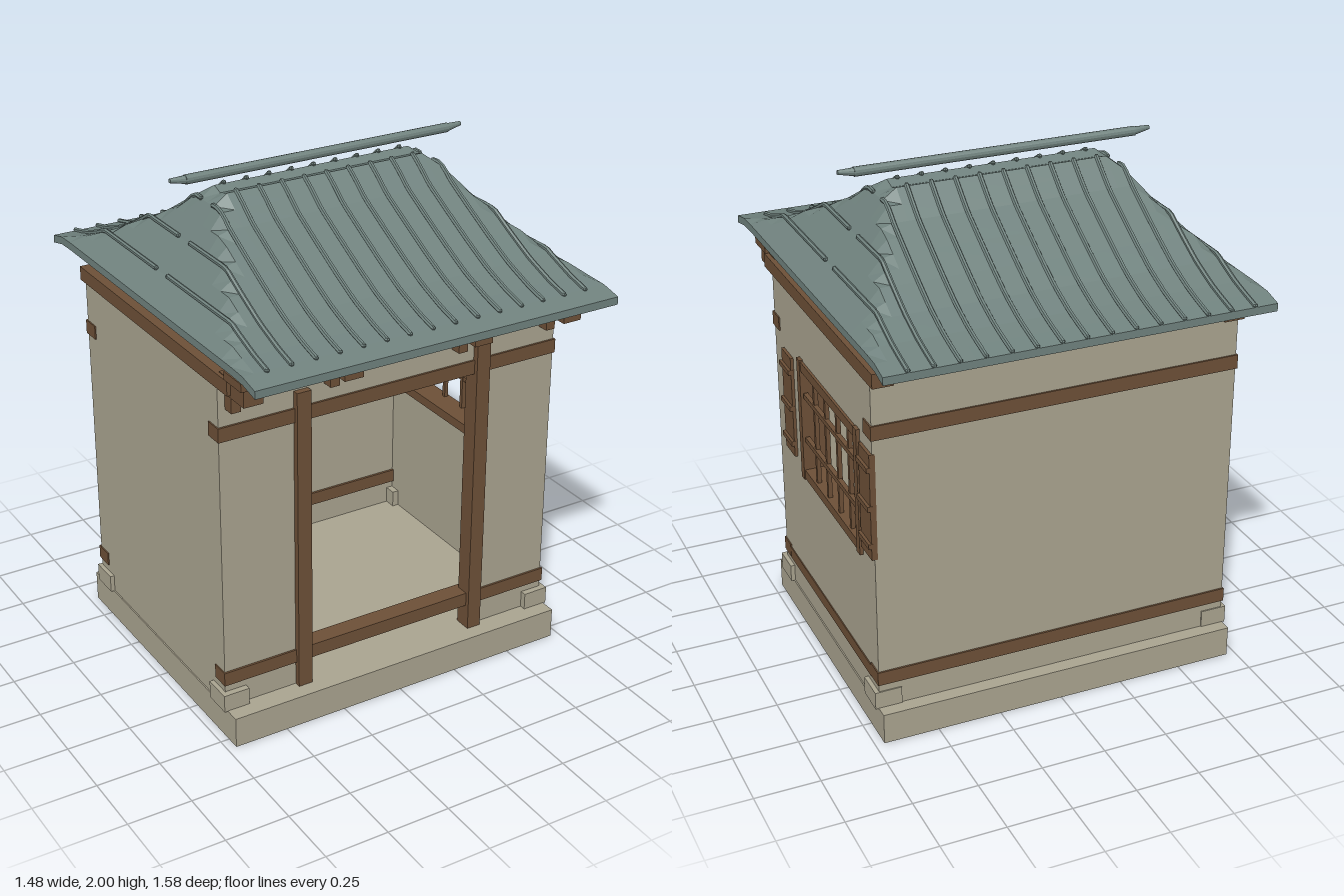
import * as THREE from 'three';

const wall = new THREE.MeshStandardMaterial({ color: 0xaaa490 });
wall.name = 'plaster and stone';
const wood = new THREE.MeshStandardMaterial({ color: 0x6d5037 });
wood.name = 'brown timber';
const tile = new THREE.MeshStandardMaterial({ color: 0x70827e, side: THREE.DoubleSide, flatShading: true });
tile.name = 'grey green tile';

// Piecewise linear profile through [position, height] points
function profile(points, v) {
  for (let i = 1; i < points.length; i++) {
    const [a, ya] = points[i - 1], [b, yb] = points[i];
    if (v <= b) return ya + (yb - ya) * Math.max(0, (v - a) / (b - a));
  }
  return points[points.length - 1][1];
}

const RIDGE_Z = -0.04;
const slope = [[0, 1.905], [0.06, 1.92], [0.2, 1.832], [0.35, 1.765], [0.5, 1.7], [0.65, 1.64], [0.8, 1.596], [0.9, 1.575], [1, 1.557]];
const hip = [[0, 1.925], [0.41, 1.925], [0.464, 1.88], [0.557, 1.755], [0.65, 1.65], [0.74, 1.578]];

// Roof height: the lower of the main slope and the end slope
function roofHeight(x, z) {
  const d = z > RIDGE_Z ? (z - RIDGE_Z) / 0.83 : (RIDGE_Z - z) / 0.75;
  return Math.min(profile(slope, d), profile(hip, Math.abs(x)));
}

// Curved shell made of a top sheet, a lowered bottom sheet and a rim
function roofShell() {
  const half = [0.74, 0.695, 0.65, 0.605, 0.557, 0.51, 0.464, 0.41, 0.2];
  const xs = [...half.map((v) => -v), 0, ...half.slice().reverse()];
  const ts = [1, 0.9, 0.8, 0.725, 0.65, 0.575, 0.5, 0.425, 0.35, 0.275, 0.2, 0.13, 0.06];
  const zs = [...ts.map((t) => RIDGE_Z - 0.75 * t), RIDGE_Z, ...ts.slice().reverse().map((t) => RIDGE_Z + 0.83 * t)];
  const pos = [], index = [], nx = xs.length, nz = zs.length, n = nx * nz;
  for (const drop of [0, 0.03])
    for (const z of zs) for (const x of xs) pos.push(x, roofHeight(x, z) - drop, z);
  const quad = (a, b, c, d) => index.push(a, b, c, a, c, d);
  for (let j = 0; j < nz - 1; j++) {
    for (let i = 0; i < nx - 1; i++) {
      const a = j * nx + i, b = a + nx;
      quad(a, b, b + 1, a + 1);
      quad(n + a, n + a + 1, n + b + 1, n + b);
    }
    const l = j * nx, r = l + nx - 1;
    quad(l, n + l, n + l + nx, l + nx);
    quad(r, r + nx, n + r + nx, n + r);
  }
  for (let i = 0; i < nx - 1; i++) {
    const f = (nz - 1) * nx + i;
    quad(f, n + f, n + f + 1, f + 1);
    quad(i, i + 1, n + i + 1, n + i);
  }
  const g = new THREE.BufferGeometry();
  g.setAttribute('position', new THREE.Float32BufferAttribute(pos, 3));
  g.setIndex(index);
  const flat = g.toNonIndexed();
  flat.computeVertexNormals();
  return flat;
}

export function createModel() {
  const model = new THREE.Group();
  model.name = 'gatehouse';

  const add = (name, geo, mat) => {
    const m = new THREE.Mesh(geo, mat);
    m.name = name;
    model.add(m);
    return m;
  };
  // Box given by its limits on each axis
  const box = (name, mat, x0, x1, y0, y1, z0, z1) => {
    const m = add(name, new THREE.BoxGeometry(x1 - x0, y1 - y0, z1 - z0), mat);
    m.position.set((x0 + x1) / 2, (y0 + y1) / 2, (z0 + z1) / 2);
    return m;
  };
  // Wall panel with one rectangular opening, drawn in the XY plane
  const pierced = (u0, u1, v0, v1, a0, a1, b0, b1, depth) => {
    const s = new THREE.Shape([[u0, v0], [u1, v0], [u1, v1], [u0, v1]].map((p) => new THREE.Vector2(...p)));
    s.holes.push(new THREE.Path([[a0, b0], [a0, b1], [a1, b1], [a1, b0]].map((p) => new THREE.Vector2(...p))));
    return new THREE.ExtrudeGeometry(s, { depth, bevelEnabled: false });
  };

  // Plinth and corner stones
  box('plinth', wall, -0.715, 0.715, 0, 0.122, -0.635, 0.556);
  for (const s of [-1, 1])
    for (const [z0, z1] of [[0.38, 0.495], [-0.585, -0.47]])
      box('cornerStone', wall, s * 0.675 - 0.052, s * 0.675 + 0.052, 0.12, 0.19, z0, z1);

  // Walls: plain back and right, window on the left, doorway in front
  box('backWall', wall, -0.71, 0.71, 0.12, 1.44, -0.58, -0.52);
  box('rightWall', wall, -0.71, -0.65, 0.12, 1.44, -0.52, 0.41);
  const sideWall = add('windowWall', pierced(-0.41, 0.52, 0.12, 1.44, -0.16, 0.44, 0.73, 1.185, 0.06), wall);
  sideWall.rotation.y = Math.PI / 2;
  sideWall.position.x = 0.65;
  for (const s of [-1, 1]) {
    const c = s * 0.55;
    box('frontWall', wall, c - 0.16, c + 0.16, 0.12, 1.44, 0.41, 0.47);
  }
  box('frontLintelWall', wall, -0.39, 0.39, 1.24, 1.44, 0.41, 0.47);

  // Horizontal rails front and back, and the sill rail under the window
  for (const [z0, z1] of [[0.405, 0.478], [-0.587, -0.51]])
    for (const y of [0.22, 1.22])
      box('wallRail', wood, -0.715, 0.715, y, y + 0.055, z0, z1);
  box('sideRail', wood, 0.65, 0.714, 0.215, 0.263, -0.51, 0.47);

  // Door posts
  for (const x of [-0.383, 0.378])
    box('doorPost', wood, x - 0.029, x + 0.029, 0.12, 1.34, 0.425, 0.495);

  // Top plate beams
  for (const s of [-1, 1])
    box('sideTopBeam', wood, s * 0.675 - 0.04, s * 0.675 + 0.04, 1.43, 1.485, -0.615, 0.55);
  box('frontTopBeam', wood, -0.64, 0.64, 1.43, 1.495, 0.405, 0.53);
  box('backTopBeam', wood, -0.64, 0.64, 1.43, 1.495, -0.59, -0.49);

  // Stepped eave brackets
  for (const x of [-0.663, -0.27, 0.27, 0.66]) {
    box('bracketCap', wood, x - 0.055, x + 0.055, 1.488, 1.52, 0.535, 0.655);
    box('bracketArm', wood, x - 0.038, x + 0.038, 1.42, 1.488, 0.47, 0.64);
    box('bracketFoot', wood, x - 0.019, x + 0.019, 1.34, 1.42, 0.46, 0.515);
  }

  // Window frame and lattice
  for (const z of [0.162, -0.445])
    box('windowJamb', wood, 0.62, 0.724, 0.705, 1.208, z - 0.017, z + 0.017);
  for (const y of [0.728, 1.183])
    box('windowRail', wood, 0.62, 0.72, y - 0.019, y + 0.019, -0.43, 0.147);
  for (let i = 0; i < 4; i++) {
    const z = 0.034 - i * 0.123;
    box('latticeBar', wood, 0.695, 0.711, 0.745, 1.166, z - 0.008, z + 0.008);
  }
  for (const y of [0.88, 1.065])
    box('latticeCrossbar', wood, 0.698, 0.716, y - 0.01, y + 0.01, -0.424, 0.137);

  // Open shutters with battens
  for (const [z0, z1] of [[0.26, 0.367], [-0.582, -0.475]]) {
    box('shutter', wood, 0.7, 0.722, 0.748, 1.166, z0, z1);
    for (const y of [0.805, 0.955, 1.107])
      box('shutterBatten', wood, 0.715, 0.733, y - 0.01, y + 0.01, z0 - 0.001, z1 + 0.001);
  }

  // Roof shell and tile ribs that follow its surface
  add('roof', roofShell(), tile);
  for (let i = -7; i <= 7; i++) {
    const x = i * 0.0929;
    for (const [z0, z1] of [[0.005, 0.712], [-0.085, -0.785]]) {
      const pts = [];
      for (let k = 0; k <= 18; k++) {
        const z = z0 + ((z1 - z0) * k) / 18;
        pts.push(new THREE.Vector3(x, roofHeight(x, z) + 0.004, z));
      }
      add('tileRib', new THREE.TubeGeometry(new THREE.CatmullRomCurve3(pts), 24, 0.009, 6), tile);
      for (const p of [pts[0], pts[18]])
        add('ribEnd', new THREE.SphereGeometry(0.009, 6, 4), tile).position.copy(p);
    }
  }

  // Ridge pole with tapered, slightly raised tips
  const pole = add('ridgePole', new THREE.CylinderGeometry(0.018, 0.018, 1.1, 12), tile);
  pole.rotation.z = Math.PI / 2;
  pole.position.set(0, 1.982, -0.036);
  for (const s of [-1, 1]) {
    const tip = add('ridgeTip', new THREE.CylinderGeometry(0.008, 0.016, 0.064, 12), tile);
    tip.rotation.z = -s * (Math.PI / 2 - 0.1);
    tip.position.set(s * 0.578, 1.985, -0.036);
  }
  return model;
}
